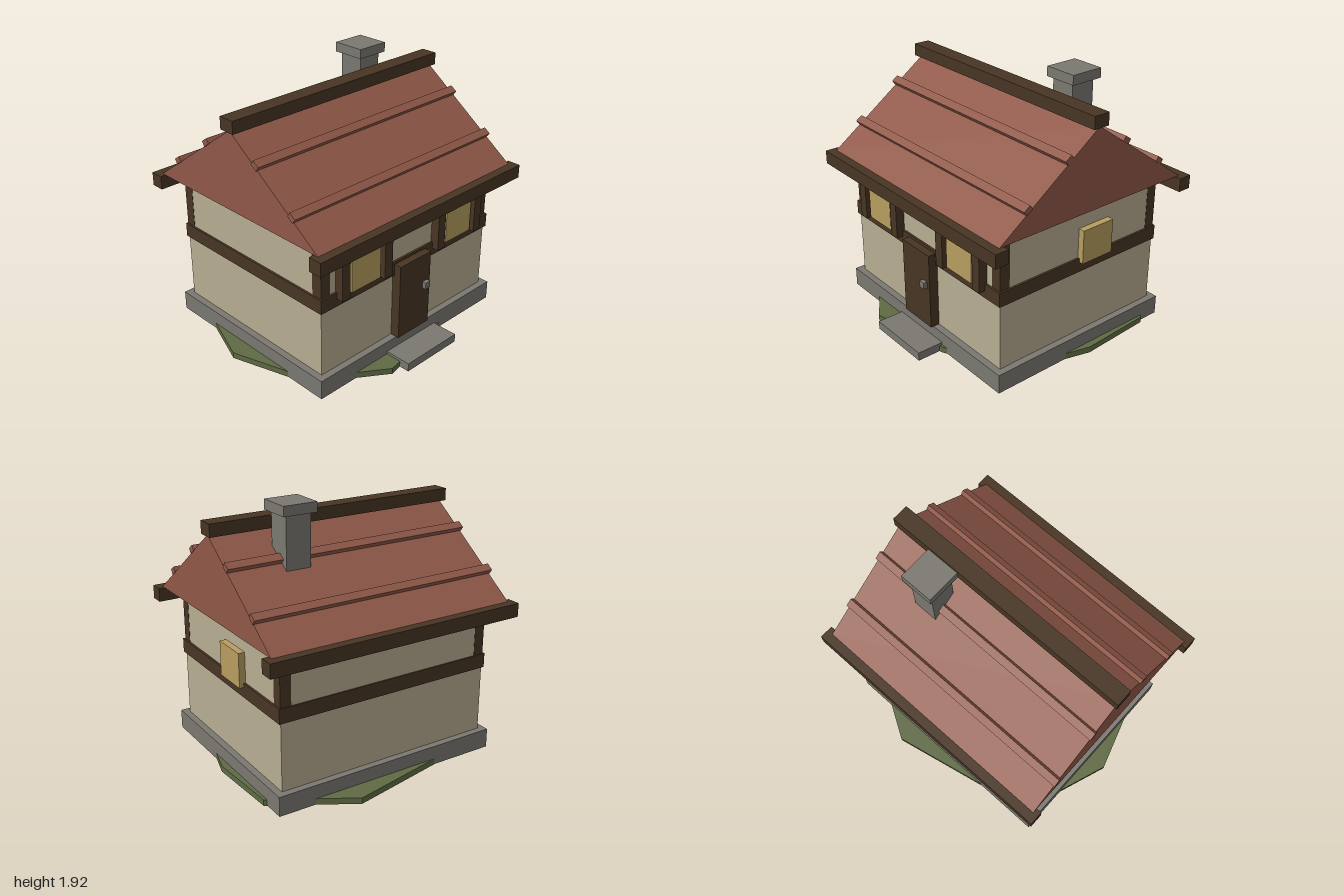
import * as THREE from 'three';

const mat = (name, color) => {
  const m = new THREE.MeshStandardMaterial({ color });
  m.name = name;
  return m;
};

export function createModel() {
  const house = new THREE.Group();
  house.name = 'cottage';

  const stone = mat('stone', 0x7a7870);
  const plaster = mat('plaster', 0xb8ad93);
  const wood = mat('dark wood', 0x483523);
  const tile = mat('roof tile', 0x8f5848);
  const glass = mat('window glow', 0xb79d5f);
  const grass = mat('grass', 0x5f6a44);

  const add = (name, geometry, material) => {
    const mesh = new THREE.Mesh(geometry, material);
    mesh.name = name;
    house.add(mesh);
    return mesh;
  };
  // Box given by its extents along each axis
  const box = (name, material, [x0, x1], [y0, y1], [z0, z1]) => {
    const mesh = add(name, new THREE.BoxGeometry(x1 - x0, y1 - y0, z1 - z0), material);
    mesh.position.set((x0 + x1) / 2, (y0 + y1) / 2, (z0 + z1) / 2);
    return mesh;
  };

  // Irregular ten-sided grass patch, outline as x and z
  const outline = [
    [0.94, -0.05], [0.79, 0.5], [0.28, 0.75], [-0.33, 0.87], [-0.82, 0.54],
    [-1, -0.03], [-0.83, -0.5], [-0.4, -0.77], [0.35, -0.93], [0.91, -0.6],
  ];
  const patch = new THREE.Shape(outline.map(([x, z]) => new THREE.Vector2(x, -z)));
  const patchGeometry = new THREE.ExtrudeGeometry(patch, { depth: 0.045, bevelEnabled: false });
  patchGeometry.rotateX(-Math.PI / 2);
  add('grassPatch', patchGeometry, grass);

  // Foundation, doorstep and walls
  box('foundation', stone, [-0.865, 0.89], [0.002, 0.145], [-0.775, 0.73]);
  box('doorstep', stone, [-0.235, 0.265], [0.002, 0.065], [0.7, 0.93]);
  box('walls', plaster, [-0.815, 0.84], [0.145, 1.14], [-0.725, 0.68]);

  // Timber band and upper corner posts
  box('timberBand', wood, [-0.83, 0.855], [0.635, 0.74], [-0.735, 0.695]);
  for (const x of [-0.817, 0.762]) {
    for (const z of [-0.727, 0.602]) {
      box('cornerPost', wood, [x, x + 0.08], [0.7, 1.1], [z, z + 0.08]);
    }
  }

  // Door with knob
  box('door', wood, [-0.145, 0.165], [0.145, 0.72], [0.66, 0.75]);
  box('doorKnob', stone, [0.09, 0.137], [0.455, 0.505], [0.74, 0.78]);

  // Front windows, each between two shutters
  for (const x of [-0.455, 0.477]) {
    box('frontWindow', glass, [x - 0.133, x + 0.133], [0.71, 0.96], [0.66, 0.73]);
    for (const s of [-1, 1]) {
      const c = x + s * 0.197;
      box('shutter', wood, [c - 0.036, c + 0.036], [0.69, 0.98], [0.66, 0.745]);
    }
  }
  box('sideWindow', glass, [0.82, 0.887], [0.71, 0.96], [-0.265, 0.005]);

  // Gabled roof as an extruded triangle
  const ridgeZ = -0.025, ridgeY = 1.715, eaveY = 1.14, halfSpan = 0.805;
  const gable = new THREE.Shape([
    new THREE.Vector2(-halfSpan, eaveY),
    new THREE.Vector2(halfSpan, eaveY),
    new THREE.Vector2(0, ridgeY),
  ]);
  const roofGeometry = new THREE.ExtrudeGeometry(gable, { depth: 1.885, bevelEnabled: false });
  roofGeometry.rotateY(Math.PI / 2);
  add('roof', roofGeometry, tile).position.set(-0.93, 0, ridgeZ);

  // Ridge beam, eave beams and tile battens
  box('ridgeBeam', wood, [-0.95, 0.97], [1.71, 1.8], [-0.087, 0.037]);
  const pitch = Math.atan2(ridgeY - eaveY, halfSpan);
  for (const s of [-1, 1]) {
    const z = ridgeZ + s * 0.82;
    box('eaveBeam', wood, [-0.97, 1], [1.04, 1.14], [z - 0.051, z + 0.051]);
    for (const d of [0.242, 0.573]) {
      const batten = add('tileBatten', new THREE.BoxGeometry(1.9, 0.04, 0.058), tile);
      batten.position.set(0.01, ridgeY - d * Math.tan(pitch) + 0.015, ridgeZ + s * (d + 0.008));
      batten.rotation.x = s * pitch;
    }
  }

  // Chimney
  box('chimneyShaft', stone, [0.375, 0.56], [1.3, 1.86], [-0.347, -0.16]);
  box('chimneyCap', stone, [0.345, 0.595], [1.855, 1.925], [-0.38, -0.13]);

  return house;
}
